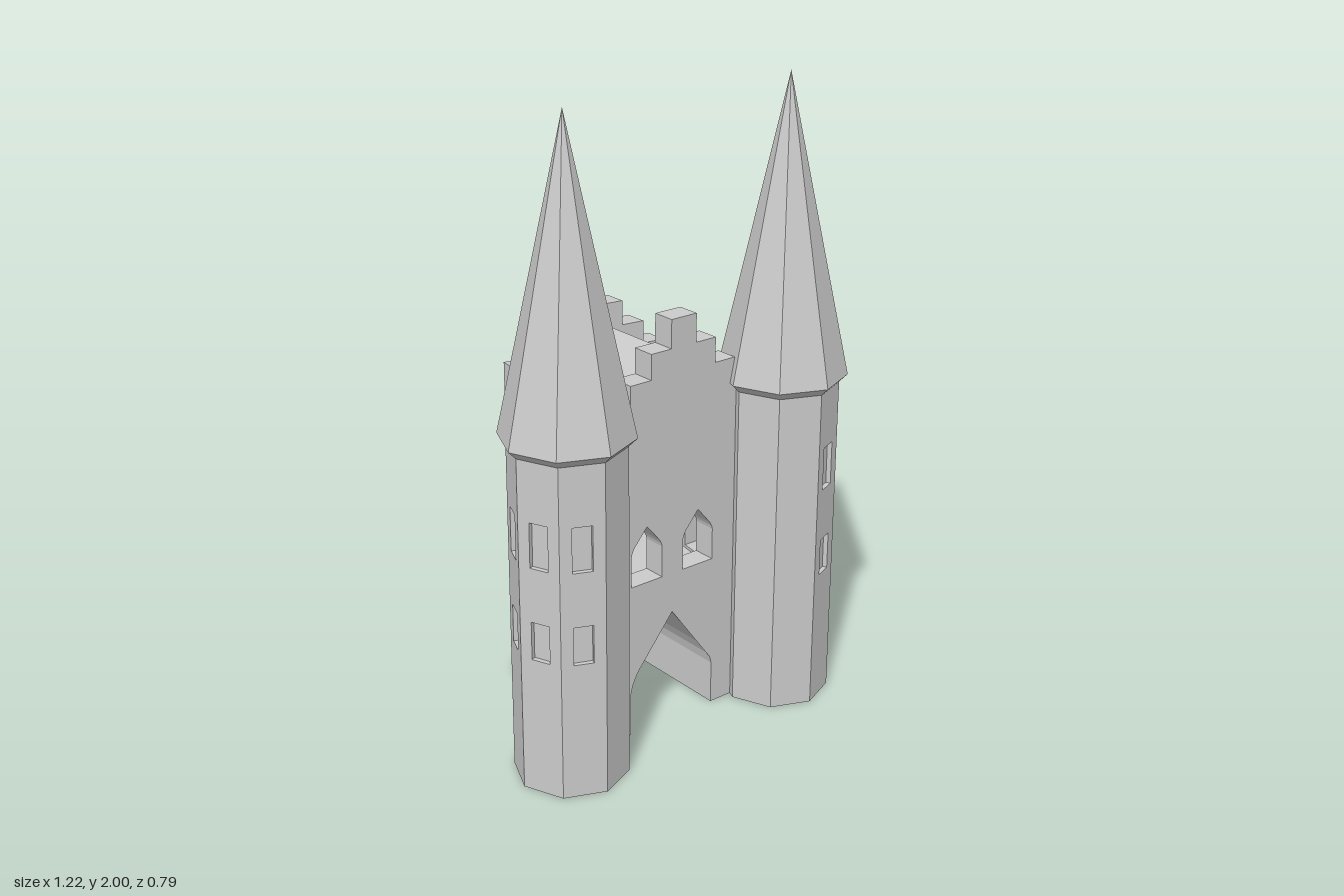
import * as THREE from 'three';

const mat = new THREE.MeshStandardMaterial({ color: 0xcccccc, flatShading: true });
const WALL = 0.075, FLOOR = 0.44, EAVE = 0.78, RIDGE_X = 0.0375, FRONT = 0.17;

// Skewed ground plan: back and side wall lines, and the roof slope
const backZ = x => -0.397 + 0.125 * (x + 0.212);
const leftX = z => -0.212 - 0.109 * (z + 0.397);
const rightX = z => 0.355 - 0.157 * (z + 0.326);
const roofY = x => 1.2 - 1.14 * Math.abs(x - RIDGE_X);

const toShape = pts => new THREE.Shape(pts.map(p => new THREE.Vector2(...p)));

// Pointed arch outline, from lower right over the peak to lower left
function archPoints(cx, half, y0, spring, peak) {
  const h = peak - spring;
  const side = [[1, y0], [1, spring], [0.95, spring + h * 0.14], [0.83, spring + h * 0.3]];
  return [
    ...side.map(([f, y]) => [cx + half * f, y]),
    [cx, peak],
    ...side.reverse().map(([f, y]) => [cx - half * f, y]),
  ];
}

function extrude(pts, holes, depth, map) {
  const shape = toShape(pts);
  shape.holes = holes.map(h => toShape(h));
  const geo = new THREE.ExtrudeGeometry(shape, { depth, bevelEnabled: false });
  if (map) {
    const p = geo.attributes.position;
    for (let i = 0; i < p.count; i++) p.setXYZ(i, ...map(p.getX(i), p.getY(i), p.getZ(i)));
    geo.computeVertexNormals();
  }
  return geo;
}

function add(parent, name, geo) {
  const mesh = new THREE.Mesh(geo, mat);
  mesh.name = name;
  parent.add(mesh);
  return mesh;
}

// Maps a unit-deep extrusion between two z lines; its ends xL and xR follow the side walls
function fitPlan(xL, xR, zBack, zFront, slopeTop = false) {
  return (x, y, t) => {
    const zAt = v => zBack(v) + (zFront(v) - zBack(v)) * t;
    const z = zAt(x);
    let nx = x;
    if (Math.abs(x - xL) < 1e-5) nx = leftX(z);
    if (Math.abs(x - xR) < 1e-5) nx = rightX(z);
    return [nx, slopeTop && y > EAVE + 0.01 ? roofY(nx) : y, zAt(nx)];
  };
}

// Stepped gable outline
function gablePoints(xL, xR) {
  const steps = [[0.275, 1.08], [0.2, 1.155], [0.123, 1.235], [0.0475, 1.325]];
  const half = (end, s) => {
    const x0 = RIDGE_X + s * steps[0][0];
    const pts = [[end, FLOOR]];
    if (s * (end - x0) > 0) pts.push([end, roofY(end)], [x0, roofY(x0)], [x0, 1.08]);
    else pts.push([end, 1.08]);
    for (let i = 1; i < steps.length; i++) {
      const x = RIDGE_X + s * steps[i][0];
      pts.push([x, steps[i - 1][1]], [x, steps[i][1]]);
    }
    return pts;
  };
  return [...half(xR, 1), ...half(xL, -1).reverse()];
}

function createGatehouse() {
  const g = new THREE.Group();
  g.name = 'gatehouse';
  const front = () => FRONT;

  // Solid lower storey with the vaulted passage
  const bL = -0.25, bR = 0.32;
  add(g, 'archedPassage', extrude(
    [[bR, 0], [bR, FLOOR], [bL, FLOOR], [bL, 0],
      ...archPoints(0, 0.163, 0, 0.14, 0.376).reverse()],
    [], 1, fitPlan(bL, bR, backZ, front)));

  // Stepped gable walls with paired windows
  add(g, 'frontGable', extrude(gablePoints(-0.27, 0.28),
    [-0.1, 0.1].map(x => archPoints(x, 0.059, 0.508, 0.61, 0.693)),
    1, fitPlan(-0.27, 0.28, () => FRONT - WALL, front)));
  add(g, 'backGable', extrude(gablePoints(-0.212, 0.355),
    [-0.025, 0.17].map(x => archPoints(x, 0.07, 0.45, 0.63, 0.725)),
    1, fitPlan(-0.212, 0.355, backZ, x => backZ(x) + WALL)));

  // Side walls
  const sides = [
    { name: 'leftWall', s: 1, edge: rightX, end: -0.31, windows: [0.02, -0.181] },
    { name: 'rightWall', s: -1, edge: leftX, end: -0.38, windows: [-0.05, -0.25] },
  ];
  for (const { name, s, edge, end, windows } of sides) {
    const a = -s * 0.15, b = -s * end;
    add(g, name, extrude(
      [[a, FLOOR], [b, FLOOR], [b, EAVE], [a, EAVE]],
      windows.map(z => archPoints(-s * z, 0.069, 0.45, 0.63, 0.725)),
      WALL, (u, y, d) => [edge(-s * u) + s * (d - WALL), y, -s * u]));
  }

  // Pitched roof between the gables
  const rL = -0.24, rR = 0.32;
  add(g, 'roof', extrude(
    [[rL, EAVE], [rR, EAVE], [rR, 0.9], [RIDGE_X, 1.2], [rL, 0.9]],
    [], 1, fitPlan(rL, rR, x => backZ(x) + 0.03, () => 0.13, true)));
  return g;
}

// Octagonal tower; side = 1 or -1 puts the windows on its outer faces
function createTower(side) {
  const g = new THREE.Group();
  g.name = side > 0 ? 'leftTower' : 'rightTower';
  const R = 0.175, H = 1.05, inset = 0.015, c = Math.cos(Math.PI / 8);
  const w = R * Math.sin(Math.PI / 8), apothem = R * c;

  const core = (apothem - inset) / c;
  add(g, 'towerCore', new THREE.CylinderGeometry(core, core, H, 8)).position.y = H / 2;

  // Wall panels with recessed windows
  const holes = [[0.435, 0.555], [0.725, 0.865]].map(([y0, y1]) =>
    [[-0.03, y0], [0.03, y0], [0.03, y1], [-0.03, y1]]);
  const rect = [[-w, 0], [w, 0], [w, H], [-w, H]];
  const plain = extrude(rect, [], inset), windowed = extrude(rect, holes, inset);
  for (let k = 0; k < 8; k++) {
    const a = (k + 0.5) * Math.PI / 4;
    const outer = Math.sin(a) * side > 0;
    const panel = add(g, outer ? 'windowPanel' : 'wallPanel', outer ? windowed : plain);
    panel.rotation.y = a;
    panel.position.set(Math.sin(a) * (apothem - inset), 0, Math.cos(a) * (apothem - inset));
  }

  // Flared eave and spire
  add(g, 'spireEave', new THREE.CylinderGeometry(0.2, R, 0.025, 8)).position.y = H + 0.0125;
  add(g, 'spire', new THREE.ConeGeometry(0.2, 0.925, 8)).position.y = 1.5375;
  g.position.set(side * 0.41, 0, 0.195);
  return g;
}

export function createModel() {
  const model = new THREE.Group();
  model.name = 'castleGate';
  model.add(createGatehouse(), createTower(1), createTower(-1));
  return model;
}
